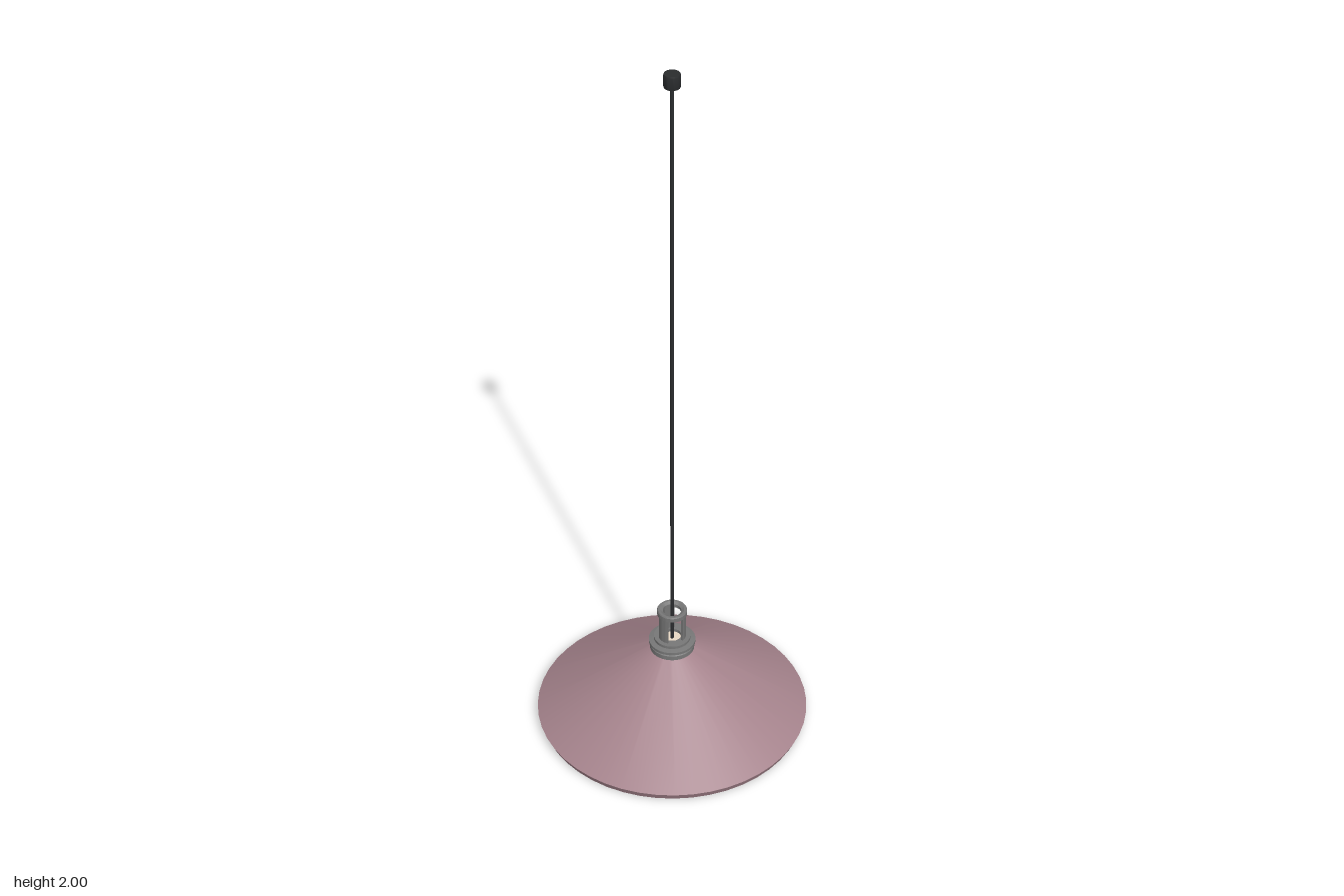
import * as THREE from 'three';
import { toCreasedNormals } from 'three/addons/utils/BufferGeometryUtils.js';

const SEGMENTS = 48;
const paint = (color) => new THREE.MeshStandardMaterial({ color });
const mauve = paint(0xa5838c);
const metal = paint(0x777777);
const black = paint(0x2a2c2e);
const cream = paint(0xe8d8c4);

// Turns a profile of [radius, height] pairs, running anticlockwise, about the y axis
function turned(name, profile, material) {
  const points = profile.map(([r, y]) => new THREE.Vector2(r, y));
  const lathe = new THREE.LatheGeometry(points, SEGMENTS);
  const mesh = new THREE.Mesh(toCreasedNormals(lathe, Math.PI / 7), material);
  mesh.name = name;
  return mesh;
}

// A curved upright plate centred on the given angle about the y axis
function uprightPlate(angle, halfWidth, inner, outer, bottom, top) {
  const shape = new THREE.Shape();
  shape.absarc(0, 0, outer, angle - halfWidth, angle + halfWidth, false);
  shape.absarc(0, 0, inner, angle + halfWidth, angle - halfWidth, true);
  const geometry = new THREE.ExtrudeGeometry(shape, {
    depth: top - bottom, bevelEnabled: false, curveSegments: 8,
  });
  geometry.rotateX(-Math.PI / 2).translate(0, bottom, 0);
  const mesh = new THREE.Mesh(toCreasedNormals(geometry, Math.PI / 6), metal);
  mesh.name = 'cagePlate';
  return mesh;
}

export function createModel() {
  const lamp = new THREE.Group();
  lamp.name = 'pendantLamp';

  // Thin conical shade with a tucked-in rim
  lamp.add(turned('shade', [
    [0.05, 0.216], [0.356, 0.016], [0.352, 0], [0.366, 0],
    [0.375, 0.02], [0.056, 0.228], [0.05, 0.216],
  ], mauve));

  // Stepped collar with a groove round its side
  lamp.add(turned('collar', [
    [0.025, 0.215], [0.061, 0.215], [0.061, 0.238], [0.058, 0.24],
    [0.058, 0.243], [0.064, 0.245], [0.064, 0.253], [0.05, 0.256],
    [0.05, 0.264], [0.025, 0.264], [0.025, 0.215],
  ], metal));

  // Open cage: three curved plates carrying a ring
  const cage = new THREE.Group();
  cage.name = 'cage';
  for (let i = 0; i < 3; i++) {
    cage.add(uprightPlate(i * Math.PI * 2 / 3, 0.46, 0.031, 0.038, 0.262, 0.345));
  }
  cage.add(turned('cageRing', [
    [0.025, 0.342], [0.041, 0.342], [0.041, 0.354], [0.039, 0.357],
    [0.033, 0.357], [0.025, 0.352], [0.025, 0.342],
  ], metal));
  lamp.add(cage);

  // Round bulb with a neck reaching into the collar
  const bulb = [];
  const radius = 0.052, centre = 0.145;
  for (let i = 0; i <= 20; i++) {
    const a = -Math.PI / 2 + (i / 20) * 2.62;
    bulb.push([Math.max(0, radius * Math.cos(a)), centre + radius * Math.sin(a)]);
  }
  bulb.push([0.025, 0.21], [0.025, 0.255], [0, 0.255]);
  lamp.add(turned('bulb', bulb, cream));

  // Hanging cord and its ceiling cap
  const cord = new THREE.Mesh(new THREE.CylinderGeometry(0.005, 0.005, 1.72, 16), black);
  cord.name = 'cord';
  cord.position.y = 1.11;
  lamp.add(cord);
  lamp.add(turned('ceilingCap', [
    [0, 1.964], [0.02, 1.964], [0.021, 1.967], [0.021, 1.997], [0.02, 2], [0, 2],
  ], black));

  return lamp;
}
